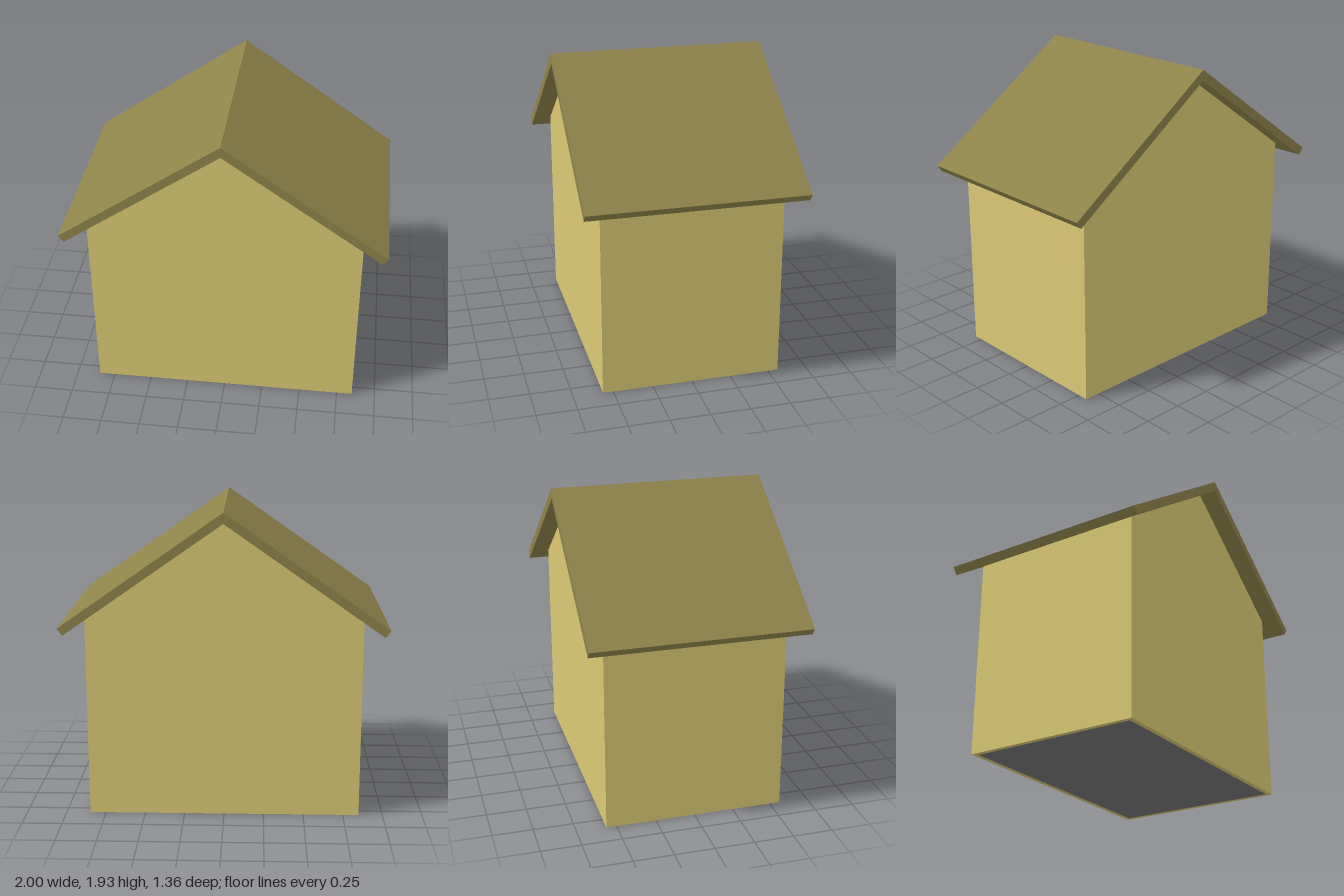
import * as THREE from 'three';

const wallMat = new THREE.MeshStandardMaterial({ color: 0xdcc974 });
const roofMat = new THREE.MeshStandardMaterial({ color: 0x8f834b });
const floorMat = new THREE.MeshStandardMaterial({ color: 0x777777 });

const W = 0.85, D = 0.565, T = 0.03; // half width, half depth, wall thickness
const RIDGE = 1.86, SLOPE = 0.7;
const underRoof = (x) => RIDGE - SLOPE * Math.abs(x);

// Extrude an x/y outline along z from z0 to z1
function prism(name, points, z0, z1, material) {
  const shape = new THREE.Shape(points.map(([x, y]) => new THREE.Vector2(x, y)));
  const geometry = new THREE.ExtrudeGeometry(shape, { depth: z1 - z0, bevelEnabled: false });
  geometry.translate(0, 0, z0);
  const mesh = new THREE.Mesh(geometry, material);
  mesh.name = name;
  return mesh;
}

export function createModel() {
  const house = new THREE.Group();
  house.name = 'house';

  // Gable walls, front and back
  const gable = [[-W, 0], [W, 0], [W, underRoof(W)], [0, RIDGE], [-W, underRoof(W)]];
  house.add(prism('frontWall', gable, D - T, D, wallMat));
  house.add(prism('backWall', gable, -D, -D + T, wallMat));

  for (const [side, s] of [['left', 1], ['right', -1]]) {
    // Side wall, its top cut to the roof slope
    const inner = W - T;
    house.add(prism(side + 'Wall',
      [[s * inner, 0], [s * W, 0], [s * W, underRoof(W)], [s * inner, underRoof(inner)]],
      -D + T, D - T, wallMat));

    // Roof panel with square-cut eave, meeting its twin at the ridge
    house.add(prism(side + 'Roof',
      [[0, RIDGE], [s * 0.968, underRoof(0.968)], [s, 1.226], [0, 1.926]],
      -0.68, 0.68, roofMat));
  }

  // Floor slab between the walls
  const floor = new THREE.Mesh(new THREE.BoxGeometry(2 * (W - T), T, 2 * (D - T)), floorMat);
  floor.name = 'floor';
  floor.position.y = T / 2;
  house.add(floor);

  return house;
}
